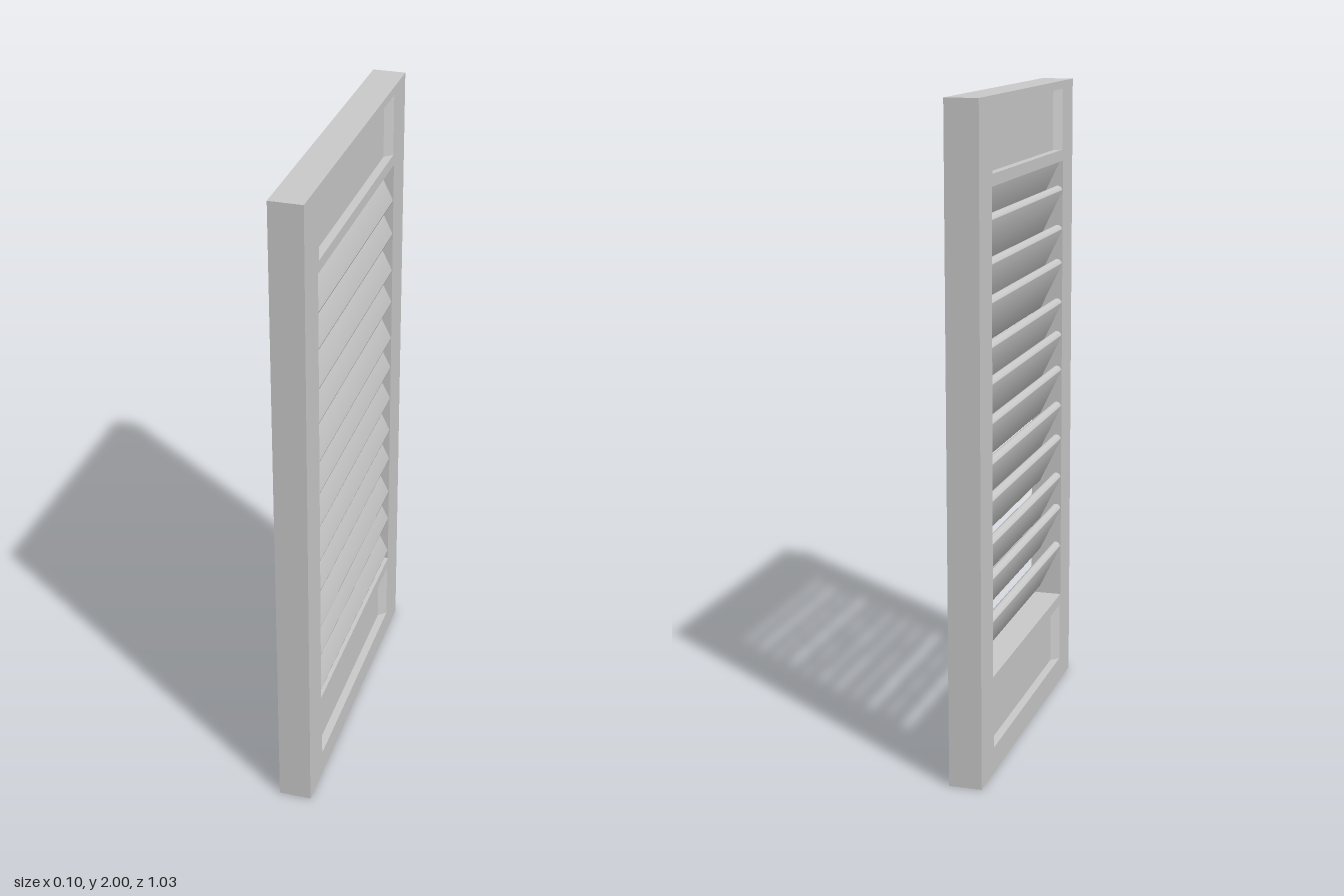
import * as THREE from 'three';
import { toCreasedNormals } from 'three/addons/utils/BufferGeometryUtils.js';

const HALF_X = 0.05;     // half thickness of the frame
const HALF_Z = 0.515;    // half width of the frame
const OPEN_Z = 0.395;    // half width of the louvre opening
const SILL = 0.305, HEAD = 1.75;

const material = new THREE.MeshStandardMaterial({ color: 0xcccccc });

// Extrude a plan outline of [z, x] points upwards from y0 to y1
function upright(points, y0, y1) {
  const shape = new THREE.Shape(points.map(([z, x]) => new THREE.Vector2(z, x)));
  const geometry = new THREE.ExtrudeGeometry(shape, { depth: y1 - y0, bevelEnabled: false });
  geometry.applyMatrix4(new THREE.Matrix4().makeBasis(
    new THREE.Vector3(0, 0, 1), new THREE.Vector3(1, 0, 0), new THREE.Vector3(0, 1, 0)));
  return geometry.translate(0, y0, 0);
}

export function createModel() {
  const group = new THREE.Group();
  group.name = 'louvredShutter';

  const add = (parent, name, geometry) => {
    const mesh = new THREE.Mesh(geometry, material);
    mesh.name = name;
    parent.add(mesh);
    return mesh;
  };

  // Plan outlines: a plain rail and one with a sunken panel on both faces
  const plain = [[-HALF_Z, -HALF_X], [HALF_Z, -HALF_X], [HALF_Z, HALF_X], [-HALF_Z, HALF_X]];
  const outer = 0.387, inner = 0.365, floor = 0.025;
  const sunkenFace = [[HALF_Z, HALF_X], [outer, HALF_X], [inner, floor],
    [-inner, floor], [-outer, HALF_X], [-HALF_Z, HALF_X]];
  const sunken = [...sunkenFace, ...sunkenFace.map(([z, x]) => [-z, -x])];

  // Bottom and top rails, stacked as plain and sunken bands
  const frame = new THREE.Group();
  frame.name = 'frame';
  group.add(frame);
  const rails = { bottomRail: [0, 0.08, 0.27, SILL], topRail: [HEAD, 1.785, 1.975, 2] };
  for (const [name, y] of Object.entries(rails)) {
    const rail = new THREE.Group();
    rail.name = name;
    frame.add(rail);
    add(rail, 'lowerBand', upright(plain, y[0], y[1]));
    add(rail, 'sunkenPanel', upright(sunken, y[1], y[2]));
    add(rail, 'upperBand', upright(plain, y[2], y[3]));
  }

  // Stiles beside the opening
  for (const side of [-1, 1]) {
    const stile = add(frame, side > 0 ? 'leftStile' : 'rightStile',
      new THREE.BoxGeometry(2 * HALF_X, HEAD - SILL, HALF_Z - OPEN_Z));
    stile.position.set(0, (SILL + HEAD) / 2, side * (HALF_Z + OPEN_Z) / 2);
  }

  // Round-edged slat, lower edge towards +x, upper edge towards -x
  const r = 0.015, reach = 0.033, rise = 0.135;
  const half = Math.hypot(reach, rise / 2);
  const profile = new THREE.Shape();
  profile.absarc(0, half, r, 0, Math.PI);
  profile.absarc(0, -half, r, Math.PI, 2 * Math.PI);
  profile.closePath();
  let slat = new THREE.ExtrudeGeometry(profile,
    { depth: 2 * OPEN_Z, bevelEnabled: false, curveSegments: 10 });
  slat.translate(0, 0, -OPEN_Z).rotateZ(Math.atan2(reach, rise / 2));
  slat = toCreasedNormals(slat, 0.6);

  // Slats at slightly uneven heights, given by their lowest points
  const louvres = new THREE.Group();
  louvres.name = 'louvres';
  group.add(louvres);
  const bottoms = [0.322, 0.453, 0.56, 0.69, 0.8, 0.92, 1.035, 1.142, 1.27, 1.38, 1.505, 1.617];
  for (const y of bottoms) add(louvres, 'slat', slat).position.y = y + r + rise / 2;

  return group;
}
